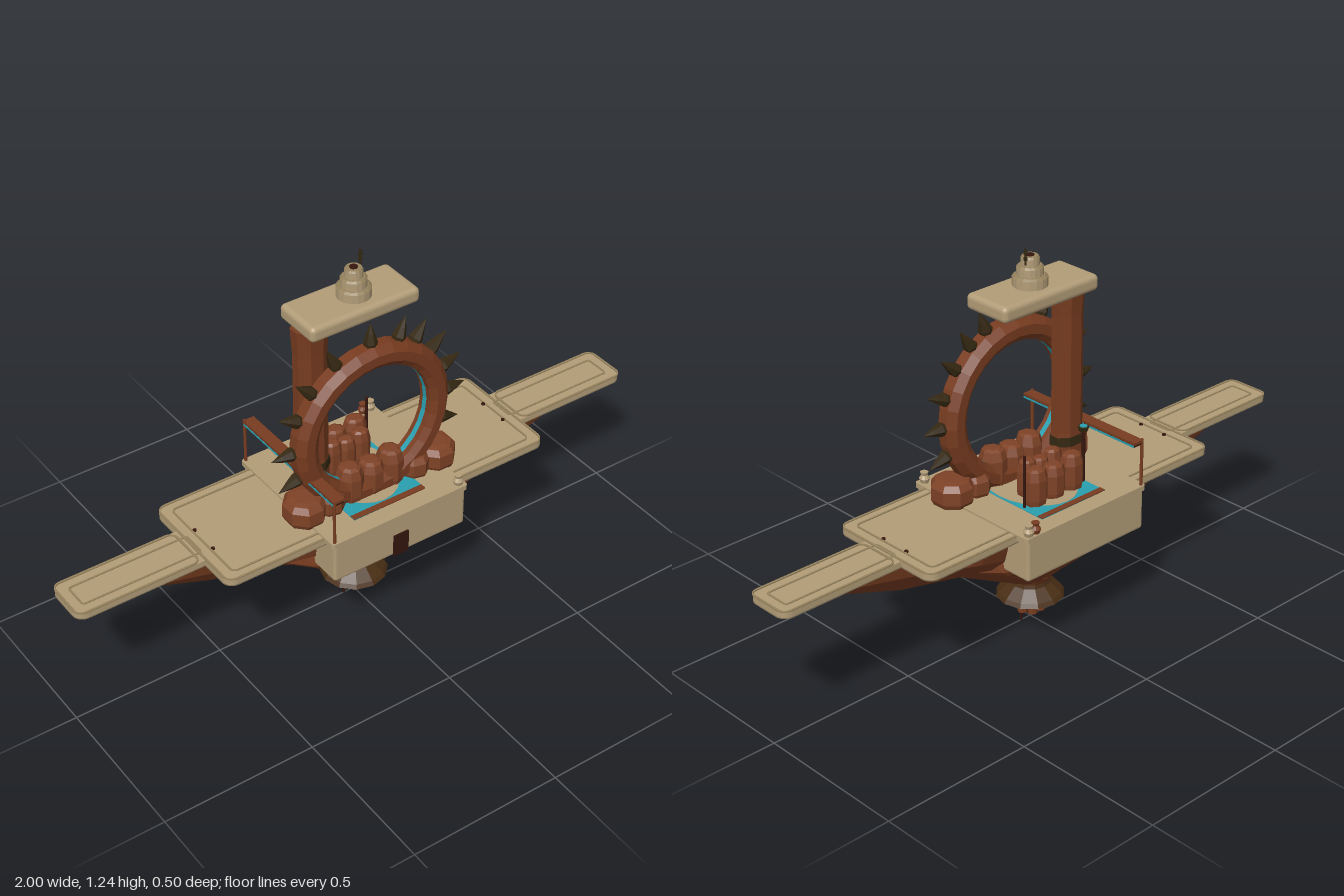
import * as THREE from 'three';
import { RoundedBoxGeometry } from 'three/addons/geometries/RoundedBoxGeometry.js';

const mat = (name, color, extra = {}) => {
  const m = new THREE.MeshStandardMaterial({ color, flatShading: true, ...extra });
  m.name = name;
  return m;
};

export function createModel() {
  const stone = mat('sandstone', 0xb39d78);
  const trim = mat('dark sandstone', 0x95825d);
  const shade = mat('underside taupe', 0x84765a);
  const rust = mat('rust brown', 0x783c20);
  const clay = mat('boulder brown', 0x7e4226);
  const dark = mat('dark brown', 0x36160e);
  const bronze = mat('dark bronze', 0x4a2f15, { side: THREE.DoubleSide });
  const horn = mat('dark olive', 0x352812);
  const teal = mat('teal', 0x2a9fb0, { side: THREE.DoubleSide });

  const model = new THREE.Group();
  const add = (name, geo, material, x = 0, y = 0, z = 0, parent = model) => {
    const m = new THREE.Mesh(geo, material);
    m.name = name;
    m.position.set(x, y, z);
    parent.add(m);
    return m;
  };
  const box = (name, material, x0, x1, y0, y1, z0, z1) =>
    add(name, new THREE.BoxGeometry(x1 - x0, y1 - y0, z1 - z0), material,
      (x0 + x1) / 2, (y0 + y1) / 2, (z0 + z1) / 2);
  const post = (name, material, r, x, y0, y1, z, r2 = r, sides = 8) =>
    add(name, new THREE.CylinderGeometry(r2, r, y1 - y0, sides), material, x, (y0 + y1) / 2, z);
  const lathe = (pts, n) => new THREE.LatheGeometry(pts.map(p => new THREE.Vector2(...p)), n);

  // Closed skin through equal-length rings of points, turned outward
  function loft(rings) {
    const n = rings[0].length, pos = rings.flat(2), idx = [];
    for (let i = 0; i < rings.length - 1; i++)
      for (let j = 0; j < n; j++) {
        const a = i * n + j, b = i * n + (j + 1) % n;
        idx.push(a, b, b + n, a, b + n, a + n);
      }
    const last = (rings.length - 1) * n;
    for (let j = 1; j < n - 1; j++) idx.push(0, j + 1, j, last, last + j, last + j + 1);
    const p = k => new THREE.Vector3(...pos.slice(k * 3, k * 3 + 3));
    let volume = 0;
    for (let i = 0; i < idx.length; i += 3)
      volume += p(idx[i]).dot(p(idx[i + 1]).cross(p(idx[i + 2])));
    if (volume < 0) idx.reverse();
    const g = new THREE.BufferGeometry();
    g.setAttribute('position', new THREE.Float32BufferAttribute(pos, 3));
    g.setIndex(idx);
    g.computeVertexNormals();
    return g;
  }

  // Rounded rectangle in plan, laid flat and extruded upward
  function roundRect(path, w, d, r) {
    path.moveTo(w - r, -d);
    path.absarc(w - r, -d + r, r, -Math.PI / 2, 0);
    path.absarc(w - r, d - r, r, 0, Math.PI / 2);
    path.absarc(-w + r, d - r, r, Math.PI / 2, Math.PI);
    path.absarc(-w + r, -d + r, r, Math.PI, Math.PI * 1.5);
    path.closePath();
    return path;
  }
  function slab(name, material, w, d, r, y0, y1, border = 0, x = 0) {
    const s = roundRect(new THREE.Shape(), w, d, r);
    if (border) s.holes.push(roundRect(new THREE.Path(), w - border, d - border, r * 0.6));
    const g = new THREE.ExtrudeGeometry(s, { depth: y1 - y0, bevelEnabled: false, curveSegments: 4 });
    g.rotateX(-Math.PI / 2);
    add(name, g, material, x, y0, 0);
  }

  // Deck: long arms, wide platform, central block
  slab('deckArms', stone, 1, 0.08, 0.035, 0.441, 0.4585);
  slab('deckPlatform', stone, 0.58, 0.203, 0.035, 0.441, 0.459);
  slab('armsUnderside', shade, 1, 0.08, 0.035, 0.4375, 0.441);
  slab('platformUnderside', shade, 0.58, 0.203, 0.035, 0.437, 0.441);
  slab('platformEdge', trim, 0.58, 0.203, 0.035, 0.459, 0.462, 0.007);
  slab('platformInlay', trim, 0.545, 0.172, 0.02, 0.459, 0.462, 0.006);
  for (const s of [-1, 1]) {
    slab('armEdge', trim, 0.205, 0.08, 0.03, 0.4585, 0.462, 0.007, s * 0.795);
    slab('armInlay', trim, 0.2, 0.045, 0.012, 0.4585, 0.461, 0.006, s * 0.765);
    for (const z of [-0.05, 0.05]) post('deckStud', dark, 0.006, s * 0.535, 0.458, 0.464, z);
  }
  add('centralBlock', new RoundedBoxGeometry(0.48, 0.145, 0.488, 2, 0.01), stone, 0, 0.39, 0);
  slab('centralTop', stone, 0.247, 0.247, 0.01, 0.448, 0.465);
  box('door', dark, -0.028, 0.026, 0.318, 0.395, 0.24, 0.249);

  // Faceted bowl under the deck: [half x, half z, y]
  const bowl = [[0.08, 0.06, 0.153], [0.165, 0.105, 0.2], [0.245, 0.158, 0.25], [0.31, 0.192, 0.293],
    [0.33, 0.197, 0.31], [0.33, 0.165, 0.437]];
  add('hullBowl', loft(bowl.map(([a, b, y]) => Array.from({ length: 12 }, (_, i) => {
    const t = (i + 0.5) / 12 * Math.PI * 2;
    return [a * Math.cos(t) * 1.035, y, b * Math.sin(t) * 1.035];
  }))), rust);

  // Tapering wing keels: [x, half width, bottom y, bottom half width]
  const keel = [[0.08, 0.165, 0.16, 0.035], [0.33, 0.165, 0.29, 0.045],
    [0.54, 0.085, 0.327, 0.03], [0.85, 0.04, 0.432, 0.015]];
  for (const s of [-1, 1])
    add('wingKeel', loft(keel.map(([x, w, y, b]) => {
      const mid = 0.44 * 0.55 + y * 0.45;
      return [[s * x, 0.44, w], [s * x, mid, w * 0.88], [s * x, y, b],
        [s * x, y, -b], [s * x, mid, -w * 0.88], [s * x, 0.44, -w]];
    })), rust);

  // Skirt and thruster
  post('neck', rust, 0.055, 0, 0.13, 0.165, 0, 0.075, 12);
  add('skirt', lathe([[0.108, 0.085], [0.1, 0.098], [0.065, 0.13], [0.058, 0.158]], 12), bronze);
  post('skirtFloor', dark, 0.102, 0, 0.087, 0.094, 0, 0.1, 12);
  post('thrusterCore', dark, 0.032, 0, 0.035, 0.1, 0);
  for (let i = 0; i < 6; i++) {
    const a = i / 6 * Math.PI * 2;
    post('thrusterTube', rust, 0.016, 0.032 * Math.cos(a), 0.03, 0.1, 0.032 * Math.sin(a));
  }
  for (const x of [-0.038, 0.038]) post('thrusterPin', dark, 0.004, x, 0, 0.06, 0);

  // Spiked ring standing on the deck
  const ring = new THREE.Group();
  ring.name = 'spikedRing';
  ring.position.set(0, 0.713, 0.083);
  model.add(ring);
  const rim = [[0.202, -0.025], [0.222, -0.04], [0.252, -0.04], [0.274, -0.018], [0.274, 0.018],
    [0.252, 0.04], [0.222, 0.04], [0.202, 0.025], [0.202, -0.025]];
  add('ringRim', lathe(rim, 28).rotateX(Math.PI / 2), rust, 0, 0, 0, ring);
  add('ringLining', new THREE.CylinderGeometry(0.2, 0.2, 0.018, 28, 1, true).rotateX(Math.PI / 2),
    teal, 0, 0, 0, ring);
  for (const deg of [-20, 0, 19, 38, 55, 69, 90, 116, 138, 157, 180, 201]) {
    const a = deg * Math.PI / 180;
    const spike = add('spike', lathe([[0.018, 0], [0.022, 0.02], [0.013, 0.05], [0, 0.087]], 6), horn,
      0.262 * Math.cos(a), 0.262 * Math.sin(a), 0, ring);
    spike.rotation.z = a - Math.PI / 2;
  }

  // Boulders around the foot of the ring
  const rock = (x, z, rx, h, rz, turn) => {
    const r = add('boulder', lathe([[0, 0], [0.88, 0], [1, 0.2], [1, 0.72], [0.8, 0.95], [0.5, 1], [0, 1]], 8)
      .rotateY(turn), clay, x, 0.46, z);
    r.scale.set(rx, h, rz);
  };
  for (const s of [-1, 1]) {
    rock(s * 0.238, 0.085, 0.066, 0.08, 0.07, 0.4);
    rock(s * 0.155, 0.085, 0.052, 0.075, 0.06, 0.2);
  }
  [-0.075, 0, 0.073].forEach((x, i) => {
    const h = i === 1 ? 0.112 : 0.122;
    rock(x, 0.085, 0.042, h, 0.045, 0.3 + i);
    rock(x, -0.1, 0.04, h, 0.034, 0.4);
    rock(x * 0.7, -0.04, 0.034, h, 0.028, 0.4);
  });

  // Floor mat with striped ends and pale medallion
  box('floorMat', teal, -0.13, 0.13, 0.463, 0.467, -0.188, 0.188);
  for (const s of [-1, 1]) box('matBand', rust, -0.13, 0.13, 0.464, 0.469, s * 0.178 - 0.01, s * 0.178 + 0.01);
  post('matMedallion', stone, 1, 0, 0.464, 0.468, 0, 1, 24).scale.set(0.125, 1, 0.162);

  // Pillar, roof and stepped cap
  add('pillar', lathe([[0, 0.45], [0.058, 0.45], [0.058, 0.56], [0.055, 0.6], [0.055, 0.98],
    [0.058, 1.03], [0.061, 1.07], [0, 1.07]], 8).rotateY(Math.PI / 8), rust, -0.153, 0, 0).scale.z = 0.74;
  const band = add('pillarBand', new THREE.CylinderGeometry(0.06, 0.061, 0.03, 8).rotateY(Math.PI / 8),
    horn, -0.153, 0.572, 0);
  band.scale.z = 0.74;
  add('roof', new RoundedBoxGeometry(0.378, 0.051, 0.168, 3, 0.016), stone, -0.012, 1.089, 0);
  box('roofSoffit', rust, -0.186, 0.162, 1.0615, 1.066, -0.07, 0.07);
  [[0.053, 1.112, 1.148], [0.04, 1.145, 1.178], [0.028, 1.175, 1.206]].forEach(([r, y0, y1]) => {
    post('capTier', stone, r, 0, y0, y1 - 0.006, 0, r, 16);
    post('capTierTop', trim, r, 0, y1 - 0.006, y1, 0, r * 0.85, 16);
  });
  post('capTip', dark, 0.013, 0, 1.203, 1.209, 0);
  post('roofAerial', horn, 0.003, 0.037, 1.19, 1.242, -0.02);
  for (const y of [1.205, 1.222]) post('aerialBead', horn, 0.006, 0.037, y, y + 0.01, -0.02);

  // Side canopy rail, lamp, mast and corner pots
  box('canopyRail', rust, -0.238, -0.2, 0.609, 0.617, -0.24, 0.24);
  box('canopyUnderside', dark, -0.238, -0.2, 0.603, 0.609, -0.239, 0.239);
  for (const x of [-0.2385, -0.1995]) box('canopyStripe', teal, x - 0.001, x + 0.001, 0.602, 0.608, -0.238, 0.238);
  for (const z of [-0.237, 0.237]) post('railPost', rust, 0.005, -0.235, 0.46, 0.62, z);
  post('lampPost', dark, 0.006, -0.125, 0.46, 0.64, -0.1);
  post('lampHead', horn, 0.014, -0.125, 0.636, 0.651, -0.1, 0.019, 6);
  post('lampGlow', teal, 0.012, -0.125, 0.65, 0.653, -0.1);
  post('mast', dark, 0.005, 0.118, 0.46, 0.635, -0.1);
  for (const [x, z] of [[0.225, 0.226], [0.225, -0.23], [0.198, -0.23]]) {
    const pot = lathe([[0, 0], [0.012, 0], [0.017, 0.015], [0.01, 0.026], [0.013, 0.036], [0, 0.036]], 10);
    add('pot', pot, x > 0.2 ? stone : rust, x, 0.464, z);
  }
  return model;
}
